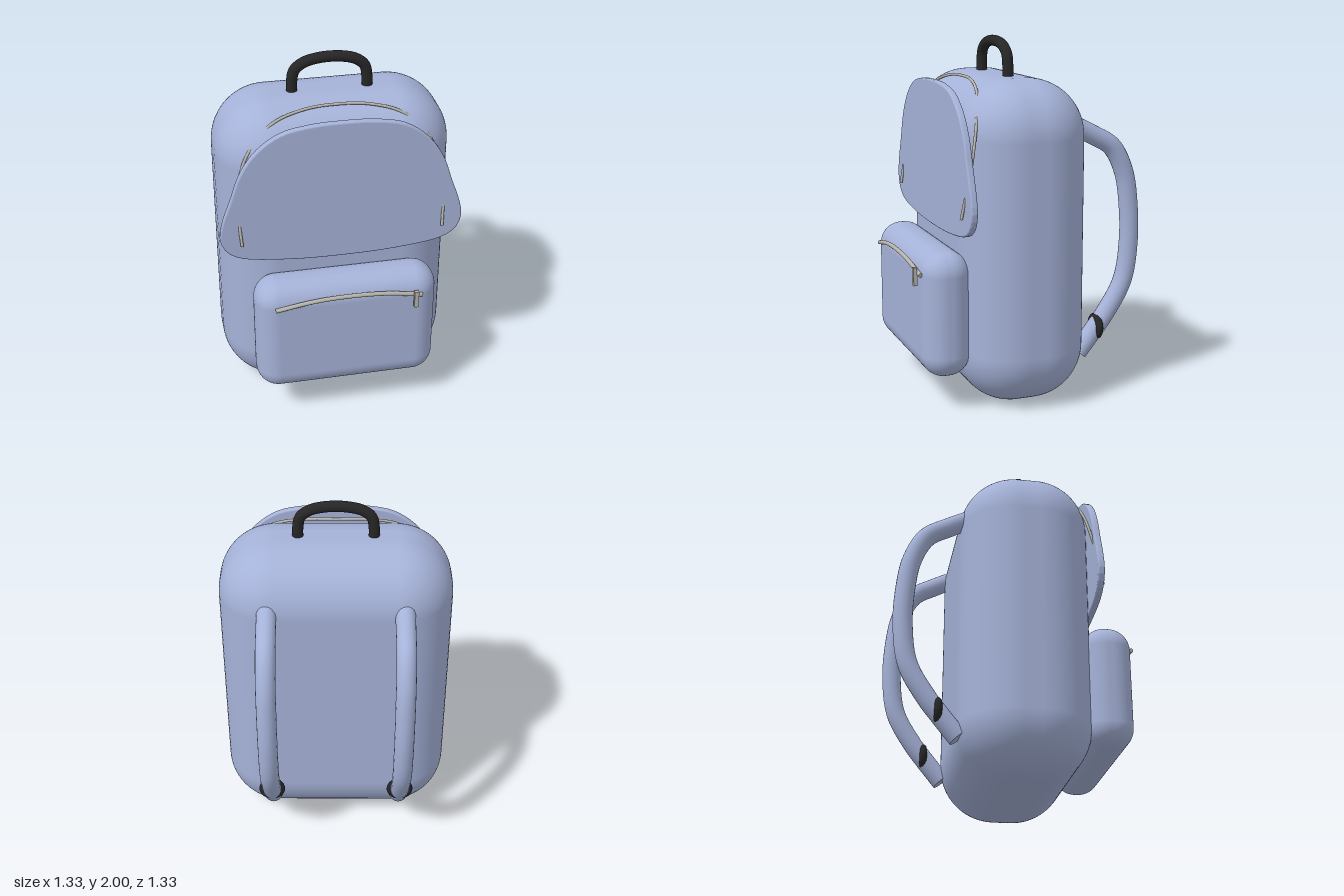
import * as THREE from 'three';
import { RoundedBoxGeometry } from 'three/addons/geometries/RoundedBoxGeometry.js';

const material = (name, color) => {
  const m = new THREE.MeshStandardMaterial({ color });
  m.name = name;
  return m;
};

export function createModel() {
  const fabric = material('blue fabric', 0xa5b2d8);
  const rubber = material('black rubber', 0x262626);
  const metal = material('zip metal', 0xb4b3aa);
  const model = new THREE.Group();
  model.name = 'backpack';

  const add = (name, geometry, mat, x = 0, y = 0, z = 0, parent = model) => {
    const mesh = new THREE.Mesh(geometry, mat);
    mesh.name = name;
    mesh.position.set(x, y, z);
    parent.add(mesh);
    return mesh;
  };

  // Tube along a smooth path, closed at both ends with discs
  const addTube = (name, points, radius, mat, x = 0) => {
    const curve = new THREE.CatmullRomCurve3(points.map(p => new THREE.Vector3(...p)));
    const group = new THREE.Group();
    group.name = name;
    group.position.x = x;
    model.add(group);
    add(name + 'Tube', new THREE.TubeGeometry(curve, 64, radius, 20), mat, 0, 0, 0, group);
    for (const t of [0, 1]) {
      const p = curve.getPointAt(t);
      const dir = curve.getTangentAt(t).multiplyScalar(t ? 1 : -1);
      const cap = add(name + 'End', new THREE.CircleGeometry(radius, 20), mat, p.x, p.y, p.z, group);
      cap.quaternion.setFromUnitVectors(new THREE.Vector3(0, 0, 1), dir);
    }
  };
  // Completes a right-to-centre path by mirroring it across x = 0
  const mirrored = half => [...half, ...half.slice(0, -1).reverse().map(([x, y, z]) => [-x, y, z])];

  // Main bag and front pocket
  add('body', new RoundedBoxGeometry(1.29, 1.79, 0.72, 10, 0.31), fabric, 0, 0.895, 0.05);
  add('frontPocket', new RoundedBoxGeometry(1.01, 0.695, 0.27, 8, 0.125), fabric, 0, 0.542, 0.495);

  // Flat front flap with a small bevelled rim
  const outline = mirrored([
    [0, 0.96], [0.3, 0.97], [0.56, 1.01], [0.63, 1.06], [0.655, 1.13], [0.64, 1.22],
    [0.59, 1.36], [0.54, 1.5], [0.46, 1.62], [0.33, 1.715], [0.17, 1.75], [0, 1.757],
  ]).slice(0, -1);
  const rim = new THREE.CatmullRomCurve3(outline.map(([x, y]) => new THREE.Vector3(x, y, 0)), true);
  const flapShape = new THREE.Shape(rim.getSpacedPoints(96).slice(0, -1).map(p => new THREE.Vector2(p.x, p.y)));
  add('frontFlap', new THREE.ExtrudeGeometry(flapShape, {
    depth: 0.018, bevelThickness: 0.01, bevelSize: 0.009, bevelSegments: 3,
  }), fabric, 0, 0, 0.411);

  // Top carry handle
  addTube('carryHandle', mirrored([
    [0.205, 1.74, 0.06], [0.205, 1.84, 0.06], [0.19, 1.905, 0.06], [0.14, 1.945, 0.06],
    [0.07, 1.964, 0.06], [0, 1.969, 0.06],
  ]), 0.03, rubber);

  // Zips over the top and across the pocket, with a pull tab
  addTube('topZip', mirrored([
    [0.55, 1.09, 0.455], [0.557, 1.2, 0.434], [0.56, 1.34, 0.405], [0.51, 1.55, 0.357],
    [0.36, 1.715, 0.296], [0.18, 1.77, 0.26], [0, 1.779, 0.246],
  ]), 0.008, metal);
  addTube('pocketZip', mirrored([
    [0.405, 0.772, 0.635], [0.2, 0.812, 0.644], [0, 0.824, 0.647],
  ]), 0.012, metal);
  add('zipPull', new THREE.BoxGeometry(0.024, 0.1, 0.02), metal, 0.367, 0.76, 0.655);

  // Shoulder straps with buckle rings
  for (const [side, x] of [['left', 0.37], ['right', -0.37]]) {
    addTube(side + 'Strap', [
      [0, 1.53, -0.25], [0, 1.465, -0.38], [0, 1.395, -0.495], [0, 1.25, -0.572], [0, 1.06, -0.605],
      [0, 0.84, -0.611], [0, 0.62, -0.577], [0, 0.44, -0.475], [0, 0.33, -0.39], [0, 0.222, -0.302],
    ], 0.054, fabric, x);
    add(side + 'Buckle', new THREE.TorusGeometry(0.054, 0.021, 12, 32), rubber, x, 0.363, -0.414);
  }

  return model;
}
